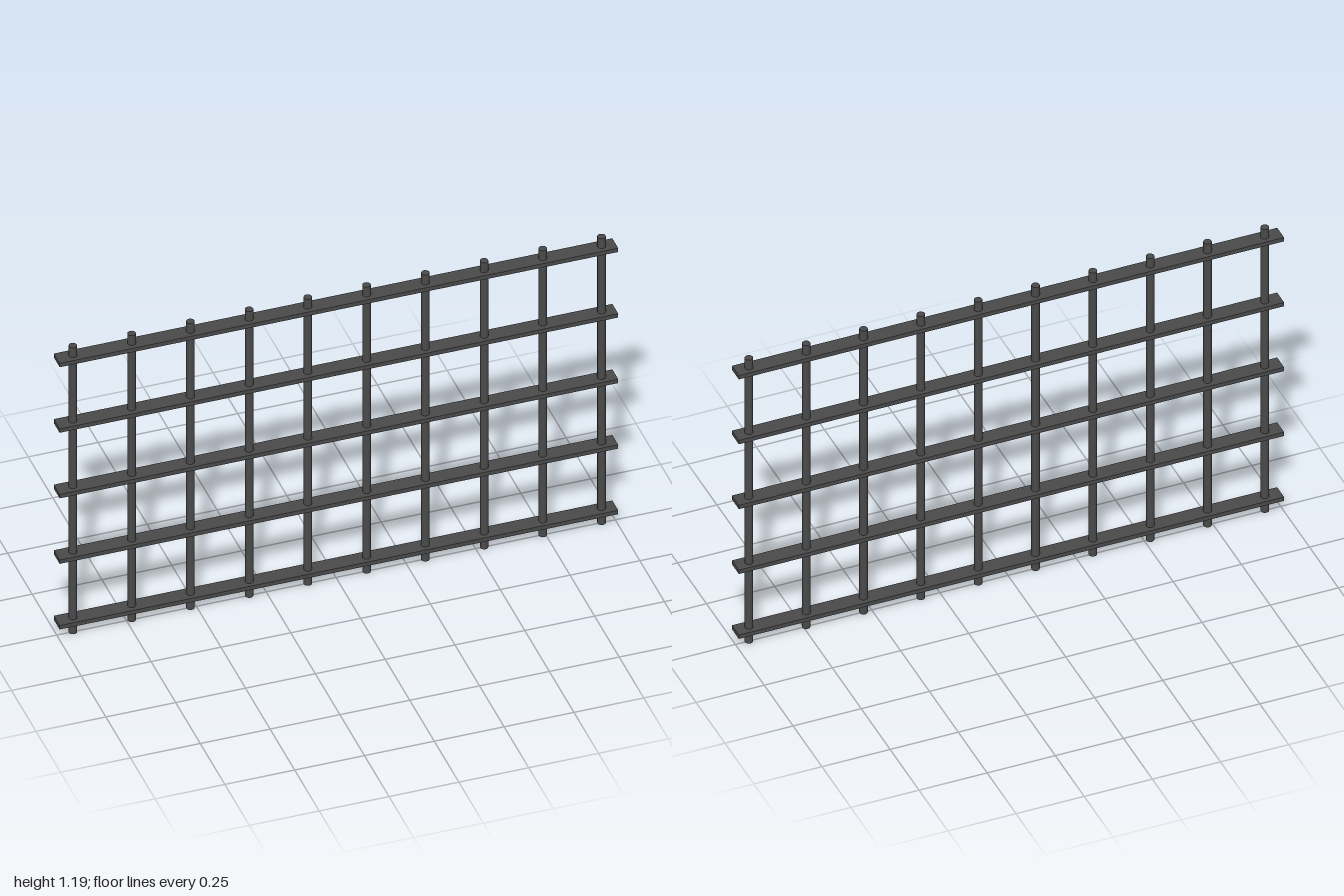
import * as THREE from 'three';

export function createModel() {
  const model = new THREE.Group();
  model.name = 'barGrille';
  const steel = new THREE.MeshStandardMaterial({ color: 0x4a4a4a });
  const height = 1.194;

  // Upright round bars, passing through the flats
  const barGeometry = new THREE.CylinderGeometry(0.0145, 0.0145, height, 16);
  for (let i = 0; i < 10; i++) {
    const bar = new THREE.Mesh(barGeometry, steel);
    bar.name = `uprightBar${i + 1}`;
    bar.position.set(-0.942 + i * 0.2103, height / 2, 0);
    model.add(bar);
  }

  // Horizontal flat bars
  const flatGeometry = new THREE.BoxGeometry(2, 0.016, 0.06);
  for (let i = 0; i < 5; i++) {
    const flat = new THREE.Mesh(flatGeometry, steel);
    flat.name = `flatBar${i + 1}`;
    flat.position.y = 0.052 + i * 0.2733;
    model.add(flat);
  }
  return model;
}
